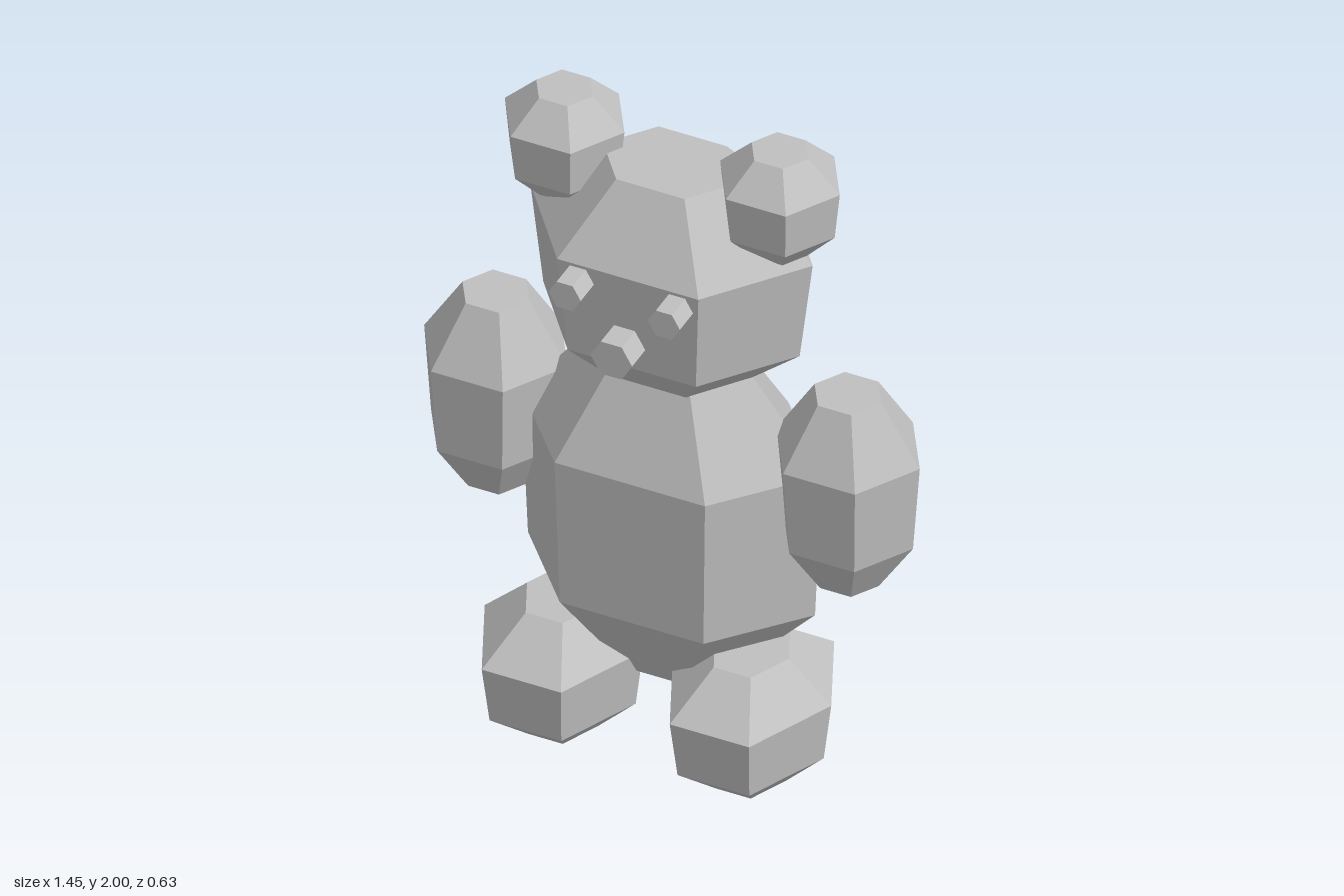
import * as THREE from 'three';

const grey = new THREE.MeshStandardMaterial({ color: 0xbfbfbf, flatShading: true });
grey.name = 'grey';

// Faceted six-sided pod: rings are [halfWidth, y] from bottom to top; depth is half the z extent of the widest ring.
function pod(name, x, z, depth, rings) {
  const first = rings[0], last = rings[rings.length - 1];
  const points = [[0, first[1]], ...rings, [0, last[1]]].map(([r, y]) => new THREE.Vector2(r, y));
  const geometry = new THREE.LatheGeometry(points, 6, Math.PI / 2);
  const widest = Math.max(...rings.map(([r]) => r));
  geometry.scale(1, 1, depth / (widest * Math.cos(Math.PI / 6)));
  const mesh = new THREE.Mesh(geometry, grey);
  mesh.name = name;
  mesh.position.set(x, 0, z);
  return mesh;
}

// Short hexagonal stud pointing forward
function stud(name, x, y, z, radius) {
  const geometry = new THREE.CylinderGeometry(radius, radius, 0.08, 6);
  geometry.rotateY(Math.PI / 2);
  geometry.rotateX(Math.PI / 2);
  const mesh = new THREE.Mesh(geometry, grey);
  mesh.name = name;
  mesh.position.set(x, y, z);
  return mesh;
}

export function createModel() {
  const bear = new THREE.Group();
  bear.name = 'bear';

  // Body, head and nose on the centre line
  bear.add(
    pod('body', 0, -0.05, 0.253, [[0.165, 0.23], [0.42, 0.505], [0.44, 0.97], [0.24, 1.23]]),
    pod('head', 0, -0.05, 0.265, [[0.225, 1.22], [0.375, 1.345], [0.413, 1.655], [0.2, 1.86]]),
    stud('nose', 0, 1.455, 0.275, 0.061)
  );

  // Paired parts
  for (const [side, s] of [['left', 1], ['right', -1]]) {
    bear.add(
      pod(side + 'Ear', s * 0.315, -0.055, 0.147, [[0.08, 1.68], [0.16, 1.765], [0.175, 1.91], [0.083, 2]]),
      pod(side + 'Arm', s * 0.515, -0.053, 0.176, [[0.09, 0.66], [0.19, 0.815], [0.21, 1.085], [0.098, 1.265]]),
      pod(side + 'Foot', s * 0.275, 0.032, 0.258, [[0.1, 0], [0.21, 0.11], [0.232, 0.29], [0.108, 0.405]]),
      stud(side + 'Eye', s * 0.145, 1.607, 0.257, 0.047)
    );
  }
  return bear;
}
